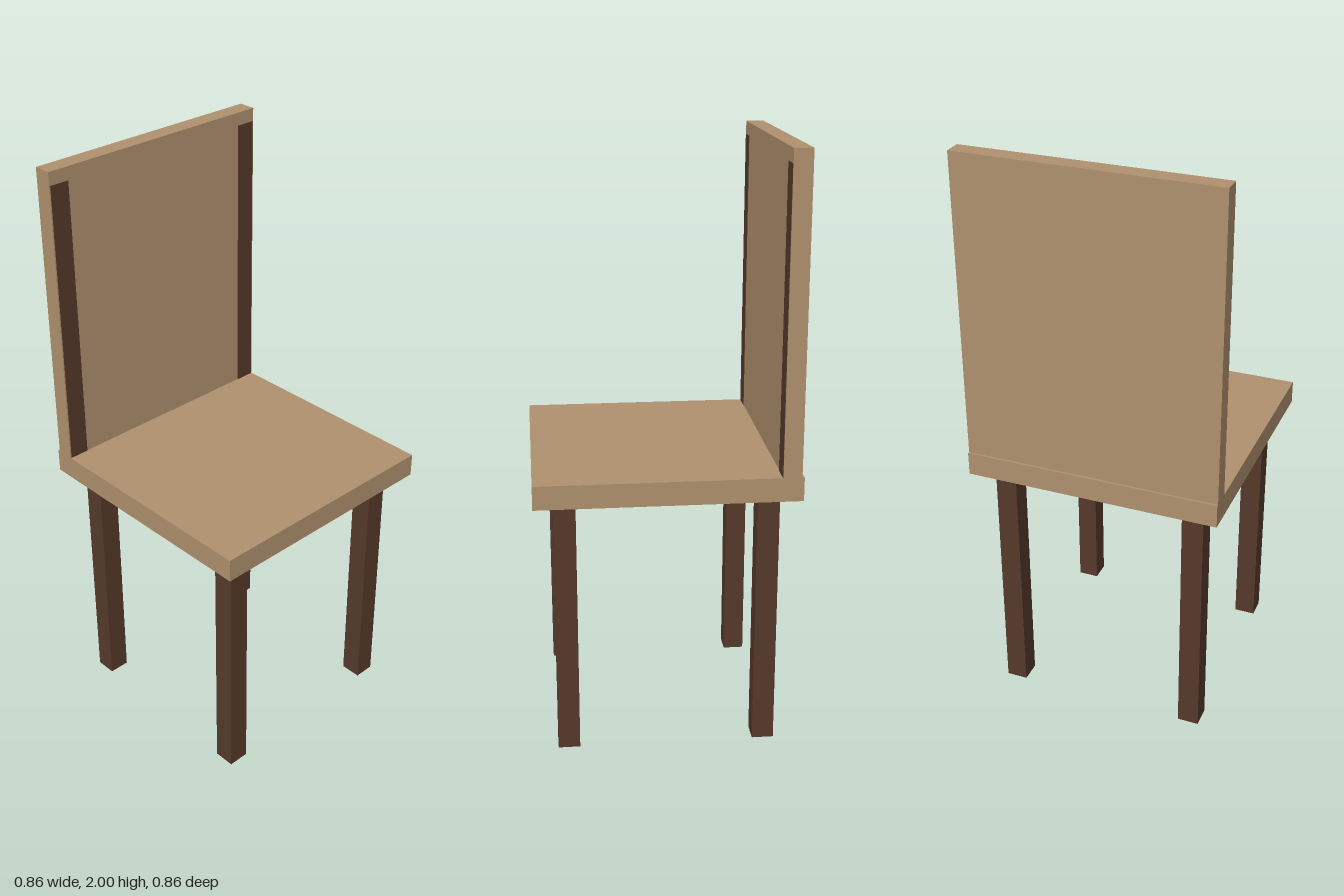
import * as THREE from 'three';

export function createModel() {
  const tan = new THREE.MeshStandardMaterial({ color: 0xb0916e });
  tan.name = 'lightWood';
  const dark = new THREE.MeshStandardMaterial({ color: 0x56392b });
  dark.name = 'darkWood';

  const chair = new THREE.Group();
  chair.name = 'chair';

  // Box given by its size, centre and underside height
  function box(name, material, [w, h, d], x, bottom, z) {
    const mesh = new THREE.Mesh(new THREE.BoxGeometry(w, h, d), material);
    mesh.name = name;
    mesh.position.set(x, bottom + h / 2, z);
    chair.add(mesh);
  }

  const width = 0.864, seatBottom = 0.89, seatTop = 0.97;

  // Seat and back panel
  box('seat', tan, [width, seatTop - seatBottom, width], 0, seatBottom, 0);
  box('backPanel', tan, [width, 2 - seatTop, 0.061], 0, seatTop, -0.394);

  for (const [side, s] of [['left', 1], ['right', -1]]) {
    // Square legs
    box(side + 'FrontLeg', dark, [0.073, seatBottom, 0.073], s * 0.331, 0, 0.331);
    box(side + 'BackLeg', dark, [0.073, seatBottom, 0.073], s * 0.331, 0, -0.331);
    // Back posts set into the panel, showing on its front face
    box(side + 'BackPost', dark, [0.068, 0.985, 0.058], s * 0.394, seatTop, -0.391);
  }

  return chair;
}
